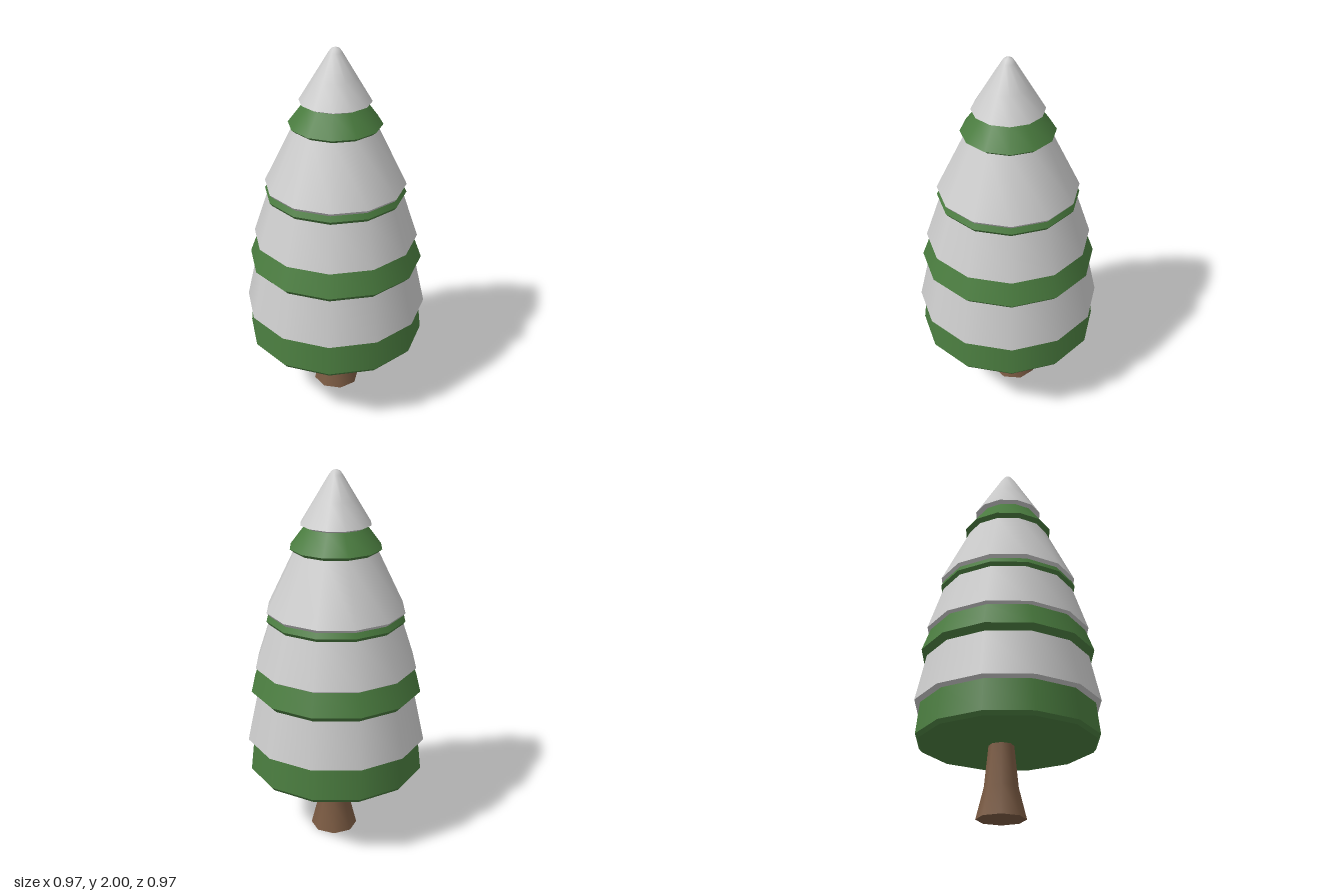
import * as THREE from 'three';
import { mergeGeometries } from 'three/addons/utils/BufferGeometryUtils.js';

const snow = new THREE.MeshStandardMaterial({ color: 0xcccccc });
const green = new THREE.MeshStandardMaterial({ color: 0x4a7c3f });
const bark = new THREE.MeshStandardMaterial({ color: 0x7a5a42 });

// Turned part made of several profile strips (bottom to top), with a crease between strips
function turned(name, strips, sides, material) {
  const parts = strips.map(strip =>
    new THREE.LatheGeometry(strip.map(([r, y]) => new THREE.Vector2(r, y)), sides));
  const mesh = new THREE.Mesh(mergeGeometries(parts), material);
  mesh.name = name;
  return mesh;
}

export function createModel() {
  const tree = new THREE.Group();
  tree.name = 'snowyTree';

  // Flared trunk, set slightly off centre
  const trunk = turned('trunk', [
    [[0, 0], [0.127, 0]],
    [[0.127, 0], [0.087, 0.16], [0.065, 0.38]],
  ], 8, bark);
  trunk.position.set(-0.015, 0, -0.031);
  tree.add(trunk);

  // Tiers from the ground up: [name, material, inner radius, bottom y, rim radius, rim y, top radius, top y]
  const tiers = [
    ['lowestBranches', green, 0.46, 0.375, 0.476, 0.395, 0.457, 0.565],
    ['lowestSnow', snow, 0.455, 0.56, 0.487, 0.572, 0.432, 0.82],
    ['lowerBranches', green, 0.43, 0.818, 0.461, 0.85, 0.415, 0.975],
    ['lowerSnow', snow, 0.412, 0.967, 0.435, 0.98, 0.355, 1.22],
    ['upperBranches', green, 0.355, 1.215, 0.37, 1.235, 0.355, 1.265],
    ['upperSnow', snow, 0.353, 1.26, 0.369, 1.28, 0.218, 1.59],
    ['topBranches', green, 0.216, 1.588, 0.241, 1.608, 0.16, 1.715],
  ];
  for (const [name, material, rIn, yBottom, rRim, yRim, rTop, yTop] of tiers) {
    const strips = [
      [[rIn, yBottom], [rRim, yRim]],
      [[rRim, yRim], [rTop, yTop]],
    ];
    if (name === 'lowestBranches') strips.push([[0, yBottom], [rIn, yBottom]]);
    tree.add(turned(name, strips, 12, material));
  }

  // Snow cap with a rounded tip
  tree.add(turned('snowCap', [
    [[0.155, 1.713], [0.185, 1.727]],
    [[0.185, 1.727], [0.11, 1.85], [0.036, 1.972], [0.022, 1.991], [0, 2]],
  ], 12, snow));

  return tree;
}
